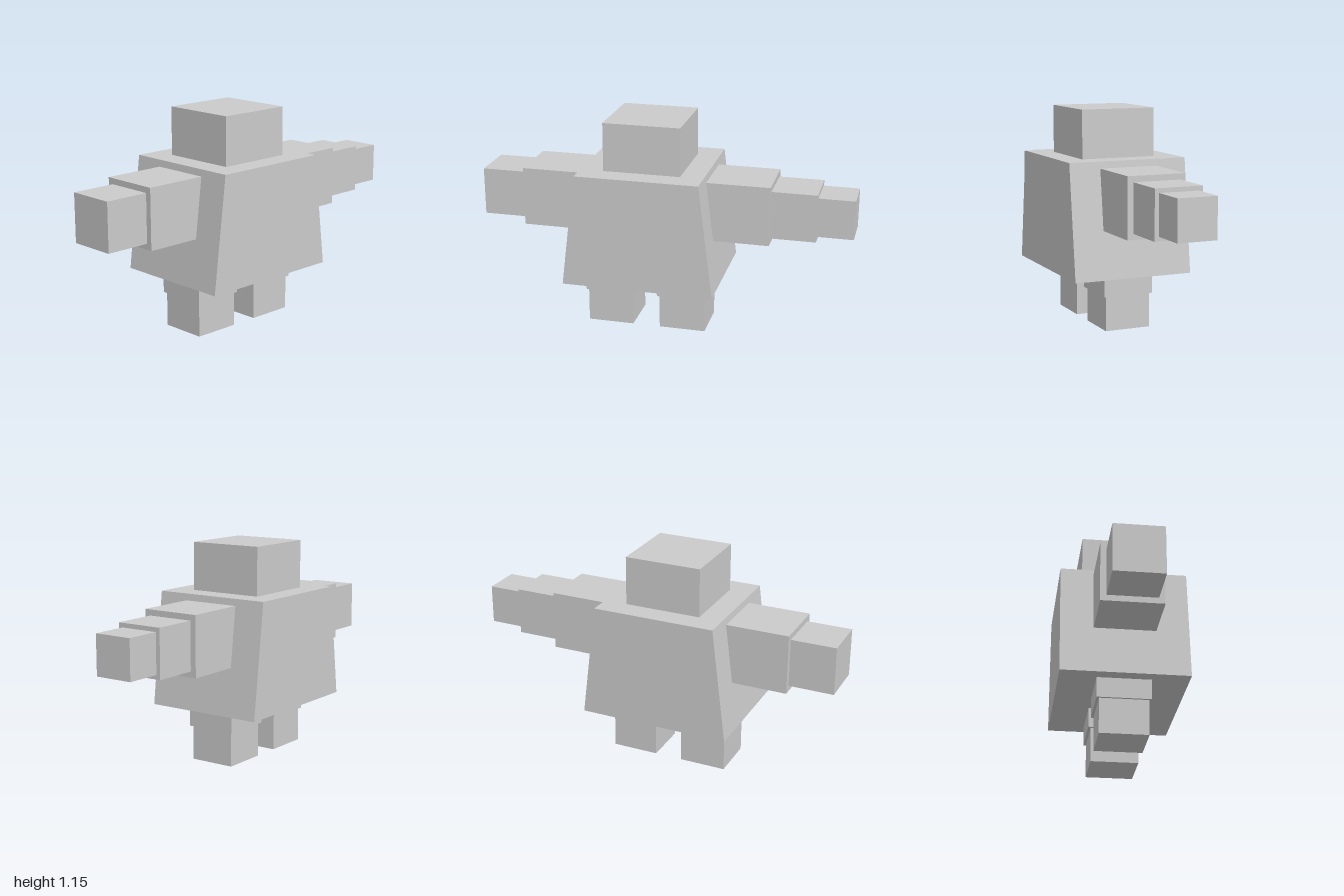
import * as THREE from 'three';

const CENTRE_X = -0.095; // body axis; the left arm is longer by a hand

export function createModel() {
  const model = new THREE.Group();
  const material = new THREE.MeshStandardMaterial({ color: 0xcccccc, flatShading: true });

  const add = (name, geometry) => {
    const mesh = new THREE.Mesh(geometry, material);
    mesh.name = name;
    model.add(mesh);
    return mesh;
  };

  // Box given by its x and y extents, centred on z = 0
  const block = (name, x0, x1, y0, y1, depth) =>
    add(name, new THREE.BoxGeometry(Math.abs(x1 - x0), y1 - y0, depth))
      .position.set((x0 + x1) / 2, (y0 + y1) / 2, 0);

  // Torso: tapered towards the shoulders
  const depth = 0.655;
  const outline = new THREE.Shape([[-0.405, 0.29], [0.405, 0.29], [0.328, 0.897], [-0.328, 0.897]]
    .map(([x, y]) => new THREE.Vector2(x, y)));
  const torso = new THREE.ExtrudeGeometry(outline, { depth, bevelEnabled: false });
  add('torso', torso.translate(CENTRE_X, 0, -depth / 2));

  // Head, sunk into the torso
  block('head', CENTRE_X - 0.205, CENTRE_X + 0.205, 0.745, 1.155, 0.41);

  for (const [side, s] of [['left', 1], ['right', -1]]) {
    const x = (d) => CENTRE_X + s * d;

    // Arm
    block(side + 'UpperArm', x(0.3), x(0.667), 0.544, 0.861, 0.317);
    block(side + 'Forearm', x(0.65), x(0.905), 0.575, 0.83, 0.255);

    // Leg
    block(side + 'Thigh', x(0.062), x(0.337), 0.185, 0.46, 0.275);
    block(side + 'Foot', x(0.075), x(0.325), 0, 0.25, 0.25);
  }

  // Hand, on the left arm only
  block('leftHand', 0.79, 1, 0.598, 0.807, 0.209);

  return model;
}
